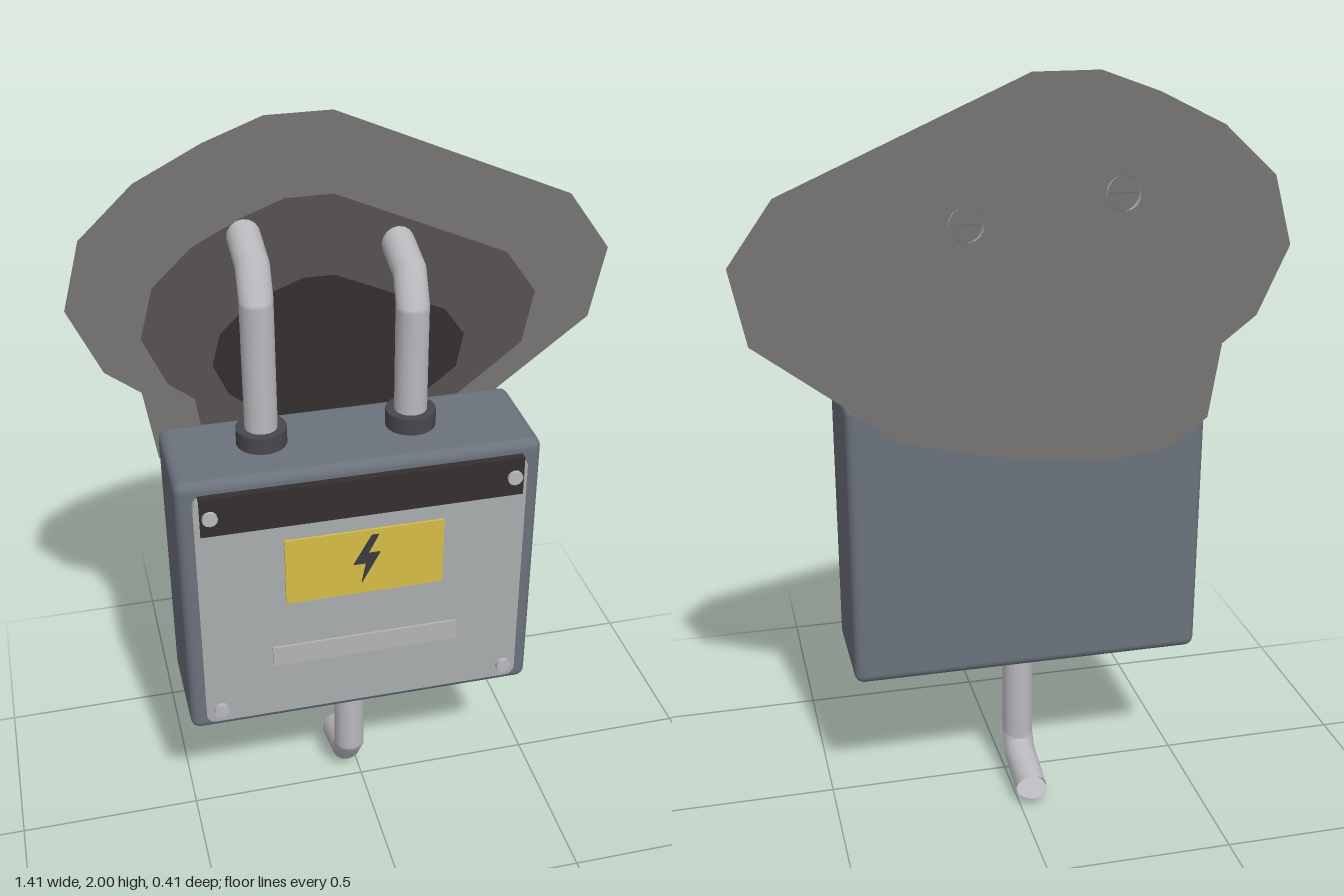
import * as THREE from 'three';
import { RoundedBoxGeometry } from 'three/addons/geometries/RoundedBoxGeometry.js';

const mat = (color, side = THREE.FrontSide) => new THREE.MeshStandardMaterial({ color, side });
const CASE = mat(0x6b727c), PLATE = mat(0xa9adae), DARK = mat(0x352f2f), COLLAR = mat(0x48484c);
const YELLOW = mat(0xd6bd45), LABEL = mat(0xb4b4b3), PIPE = mat(0xb9b9be), BOLT = mat(0x3b3b3d);

export function createModel() {
  const group = new THREE.Group();
  const add = (name, geo, material, x = 0, y = 0, z = 0) => {
    const m = new THREE.Mesh(geo, material);
    m.name = name;
    m.position.set(x, y, z);
    group.add(m);
    return m;
  };
  // Box spanning given x, y and z limits, optionally rounded
  const slab = (name, material, [x0, x1], [y0, y1], [z0, z1], r = 0) => {
    const s = [x1 - x0, y1 - y0, z1 - z0];
    const geo = r ? new RoundedBoxGeometry(...s, 3, r) : new THREE.BoxGeometry(...s);
    return add(name, geo, material, (x0 + x1) / 2, (y0 + y1) / 2, (z0 + z1) / 2);
  };
  const shape = pts => new THREE.Shape(pts.map(p => new THREE.Vector2(...p)));

  // Housing and front cover
  slab('housing', CASE, [-0.51, 0.44], [0.415, 1.2], [-0.148, 0.156], 0.026);
  const x0 = -0.47, x1 = 0.395, y0 = 0.455, y1 = 1.165, r = 0.025;
  const cover = new THREE.Shape();
  cover.absarc(x1 - r, y1 - r, r, 0, Math.PI / 2);
  cover.absarc(x0 + r, y1 - r, r, Math.PI / 2, Math.PI);
  cover.absarc(x0 + r, y0 + r, r, Math.PI, Math.PI * 1.5);
  cover.absarc(x1 - r, y0 + r, r, Math.PI * 1.5, Math.PI * 2);
  add('frontCover', new THREE.ExtrudeGeometry(cover, {
    depth: 0.022, bevelEnabled: false, curveSegments: 4 }), PLATE, 0, 0, 0.155);

  // Markings on the cover
  slab('darkBand', DARK, [-0.455, 0.385], [1.06, 1.17], [0.16, 0.181]);
  slab('warningPlate', YELLOW, [-0.245, 0.175], [0.82, 1.015], [0.17, 0.183]);
  slab('labelStrip', LABEL, [-0.285, 0.22], [0.62, 0.68], [0.17, 0.183]);
  add('warningBolt', new THREE.ExtrudeGeometry(shape([
    [-0.018, 1.0], [-0.066, 0.915], [-0.033, 0.915], [-0.045, 0.855],
    [0.004, 0.945], [-0.028, 0.945], [0.0, 1.0]]),
  { depth: 0.004, bevelEnabled: false }), BOLT, 0, 0, 0.183);

  // Corner screws
  for (const x of [-0.43, 0.36]) for (const y of [0.497, 1.115])
    add('screw', new THREE.CylinderGeometry(0.02, 0.02, 0.02, 12), PIPE, x, y, 0.18).rotation.x = Math.PI / 2;

  // Bent pipe: circular rings in the yz plane, each { y, z, tilt }
  const pipe = (name, x, rings) => {
    const N = 16, R = 0.043, pos = [], idx = [];
    rings.forEach(({ y, z, tilt }) => {
      for (let i = 0; i <= N; i++) {
        const a = i / N * Math.PI * 2, c = Math.cos(a) * R, s = Math.sin(a) * R;
        pos.push(x + c, y + s * Math.sin(tilt), z + s * Math.cos(tilt));
      }
    });
    for (let k = 0; k < rings.length - 1; k++) for (let i = 0; i < N; i++) {
      const a = k * (N + 1) + i, b = a + N + 1;
      idx.push(a, a + 1, b, a + 1, b + 1, b);
    }
    const geo = new THREE.BufferGeometry();
    geo.setAttribute('position', new THREE.Float32BufferAttribute(pos, 3));
    geo.setIndex(idx);
    geo.computeVertexNormals();
    add(name, geo, mat(0xb9b9be, THREE.DoubleSide));
    // Flat cap on the cut end
    const end = rings[rings.length - 1];
    const cap = add(name + 'Cap', new THREE.CircleGeometry(R, N), mat(0xb9b9be, THREE.DoubleSide), x, end.y, end.z);
    cap.rotation.x = -end.tilt;
  };
  const TILT = Math.PI / 2 - 0.25;
  const Z = -0.009;

  // Two upper pipes with collars, bending back into the wall
  for (const [x, top] of [[-0.26, 1.6], [0.133, 1.542]]) {
    pipe('upperPipe', x, [
      { y: 1.18, z: Z, tilt: 0 }, { y: top - 0.01, z: Z, tilt: 0 }, { y: top, z: Z, tilt: 0 },
      { y: top + 0.072, z: -0.04, tilt: TILT }, { y: top + 0.075, z: -0.05, tilt: TILT },
      { y: top + 0.108, z: -0.176, tilt: TILT }]);
    add('collar', new THREE.CylinderGeometry(0.066, 0.066, 0.055, 20), COLLAR, x, 1.218, Z);
  }
  // Lower pipe
  pipe('lowerPipe', -0.035, [
    { y: 0.43, z: Z, tilt: 0 }, { y: 0.14, z: Z, tilt: 0 }, { y: 0.13, z: Z, tilt: 0 },
    { y: 0.082, z: -0.04, tilt: -TILT }, { y: 0.079, z: -0.05, tilt: -TILT },
    { y: 0.046, z: -0.176, tilt: -TILT }]);

  // Scorched wall patch: three nested flat layers of one outline
  const outline = [
    [-0.71, 1.55], [-0.66, 1.73], [-0.52, 1.86], [-0.35, 1.945], [-0.2, 2], [-0.03, 2],
    [0.59, 1.73], [0.705, 1.57], [0.665, 1.375], [0.435, 1.2], [0.31, 1.1], [0.07, 1.04],
    [-0.23, 1.0], [-0.41, 1.025], [-0.51, 1.1], [-0.54, 1.3], [-0.63, 1.37]];
  const layers = [
    ['outerScorch', 0x777572, 1, 1, 0, 2, -0.155],
    ['middleScorch', 0x565150, 0.735, 0.75, -0.009, 1.79, -0.153],
    ['innerScorch', 0x342f2e, 0.475, 0.485, -0.018, 1.575, -0.151]];
  for (const [name, color, sx, sy, dx, top, z] of layers)
    add(name, new THREE.ShapeGeometry(shape(outline.map(([x, y]) => [x * sx + dx, top - (2 - y) * sy]))),
      mat(color, name === 'outerScorch' ? THREE.DoubleSide : THREE.FrontSide), 0, 0, z);

  return group;
}
